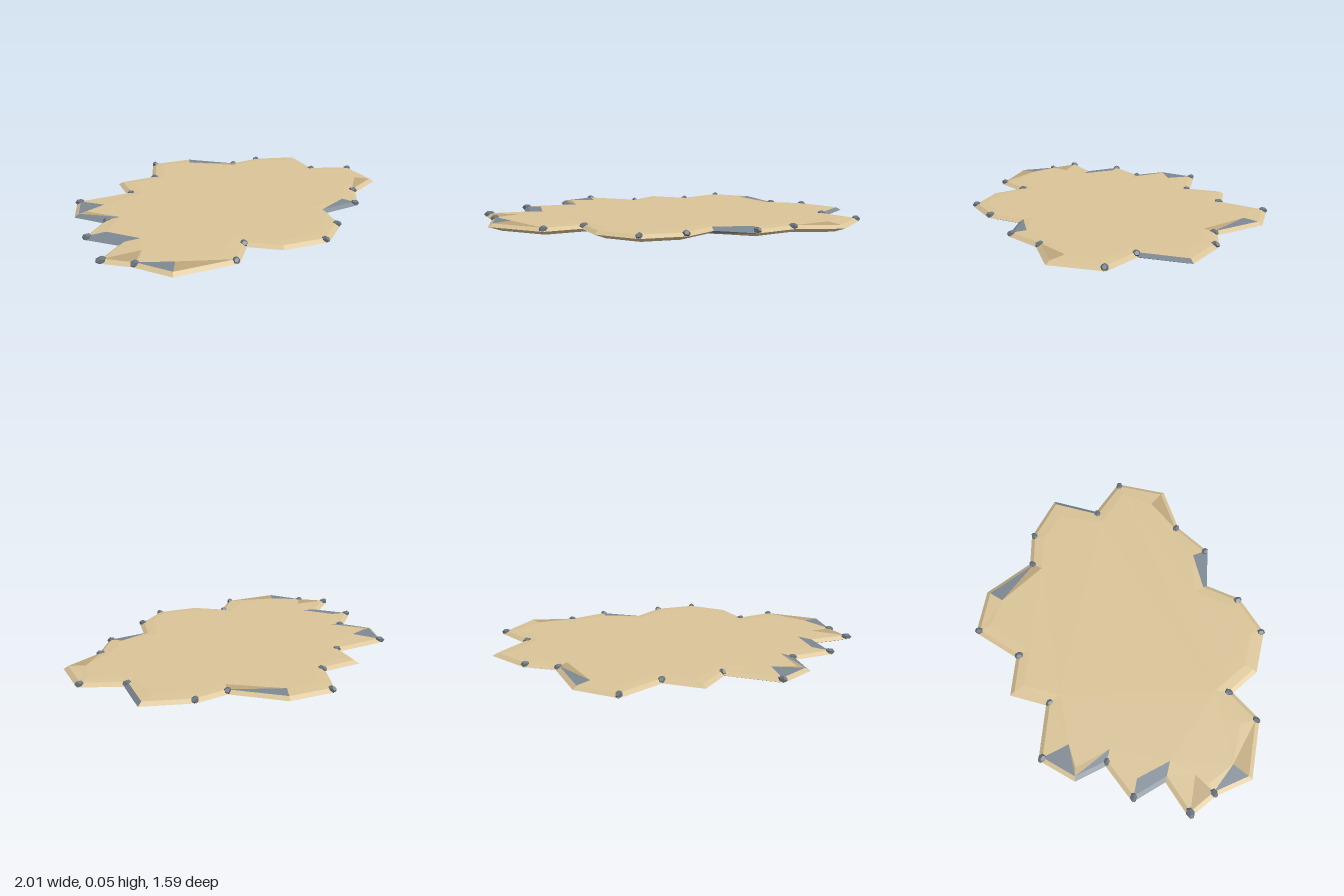
import * as THREE from 'three';

// Jagged outline of the slab (x, z), clockwise seen from above
const OUTLINE = [
  [0.18, -0.795], [0.415, -0.71], [0.555, -0.45], [0.73, -0.42], [0.94, -0.26], [0.835, -0.025],
  [1.0, 0.13], [0.9, 0.39], [0.655, 0.435], [0.48, 0.575], [0.265, 0.53], [0.16, 0.695],
  [-0.06, 0.79], [-0.285, 0.7], [-0.38, 0.55], [-0.545, 0.66], [-0.855, 0.555], [-0.91, 0.35],
  [-1.0, 0.195], [-0.8, 0.105], [-0.875, -0.08], [-0.67, -0.19], [-0.725, -0.36],
  [-0.585, -0.535], [-0.295, -0.46], [-0.21, -0.645], [0.0, -0.59],
];
const N = OUTLINE.length;
// Corners where the top surface starts further in or out than usual
const TOP_INSET = { 1: 0.1, 4: 0.09, 7: 0.1, 9: 0.085, 15: 0.1, 16: 0.11, 18: 0.15, 19: 0.08, 20: 0.09, 22: 0.06, 23: 0.15 };
const topInset = (i) => TOP_INSET[i % N] ?? 0.07;
// Edges with coloured facets on the upper chamfer: 1 = outer, 2 = inner triangle, 3 = both
const SLATE = { 1: 1, 9: 1, 16: 1, 19: 3, 21: 1, 22: 1 };
const CLAY = { 1: 2, 7: 1, 15: 1, 17: 1, 21: 2, 22: 2 };
// Edges whose steep sides are slate
const SLATE_SIDES = [4, 9, 19, 21];
// Corners that carry a small stone
const STONES = [0, 2, 3, 5, 6, 8, 9, 11, 12, 14, 15, 17, 18, 20, 21, 23, 24, 26];

// The slab is a thin shell, open underneath, so both sides show
const paint = (color) => new THREE.MeshStandardMaterial({ color, flatShading: true, side: THREE.DoubleSide });
const sand = paint(0xd9c397);
const clay = paint(0xbda67c);
const slate = paint(0x7d8892);
const stone = paint(0x69737e);

// Outline moved inward by a mitred distance, at height y
function ring(inset, y) {
  const edgeNormal = (i) => {
    const [ax, az] = OUTLINE[(i + N) % N], [bx, bz] = OUTLINE[(i + 1) % N];
    return new THREE.Vector2(bz - az, ax - bx).normalize();
  };
  return OUTLINE.map(([x, z], i) => {
    const n = edgeNormal(i - 1), m = edgeNormal(i);
    const miter = n.clone().add(m).divideScalar(1 + n.dot(m));
    const d = inset(i);
    return new THREE.Vector3(x - miter.x * d, y, z - miter.y * d);
  });
}

function meshFrom(name, triangles, material) {
  const geometry = new THREE.BufferGeometry().setFromPoints(triangles);
  geometry.computeVertexNormals();
  const mesh = new THREE.Mesh(geometry, material);
  mesh.name = name;
  return mesh;
}

// Flat face filling a ring, facing up
function cap(points) {
  const flat = points.map((p) => new THREE.Vector2(p.x, -p.z));
  return THREE.ShapeUtils.triangulateShape(flat, []).flatMap(([a, b, c]) => {
    const ccw = THREE.ShapeUtils.area([flat[a], flat[b], flat[c]]) > 0;
    return (ccw ? [a, b, c] : [a, c, b]).map((k) => points[k]);
  });
}

// Two triangles joining a lower and an upper ring along edge i;
// the outer one points at the corner that reaches further in
function band(lower, upper, i) {
  const j = (i + 1) % N;
  return topInset(i) > topInset(j)
    ? [[lower[j], lower[i], upper[i]], [lower[j], upper[i], upper[j]]]
    : [[lower[j], lower[i], upper[j]], [lower[i], upper[i], upper[j]]];
}

export function createModel() {
  const group = new THREE.Group();
  group.name = 'rockSlab';

  const bottom = ring(() => 0.065, 0);
  const rim = ring(() => 0, 0.026);
  const shoulder = ring(() => 0.022, 0.042);
  const top = ring(topInset, 0.047);

  // Sides and upper chamfer, sorted by colour
  const sandSides = [], clayFacets = [], slateFacets = [];
  for (let i = 0; i < N; i++) {
    const steep = SLATE_SIDES.includes(i) ? slateFacets : sandSides;
    const [outer, inner] = band(bottom, rim, i);
    sandSides.push(...outer);
    steep.push(...inner, ...band(rim, shoulder, i).flat());
    band(shoulder, top, i).forEach((triangle, k) => {
      const bit = k + 1;
      const target = SLATE[i] & bit ? slateFacets : CLAY[i] & bit ? clayFacets : sandSides;
      target.push(...triangle);
    });
  }
  group.add(
    meshFrom('topSurface', cap(top), sand),
    meshFrom('bevelledSides', sandSides, sand),
    meshFrom('clayFacets', clayFacets, clay),
    meshFrom('slateFacets', slateFacets, slate),
  );

  // Small stones set on the rim corners, pointing outward
  const stones = new THREE.Group();
  stones.name = 'rimStones';
  const seats = ring(() => 0.018, 0.037);
  const pebble = new THREE.DodecahedronGeometry(1);
  STONES.forEach((corner, k) => {
    const mesh = new THREE.Mesh(pebble, stone);
    const size = corner === 18 ? 1.4 : 1.1 + 0.15 * Math.sin(k * 3.1);
    mesh.name = 'rimStone';
    mesh.position.copy(seats[corner]);
    mesh.rotation.y = Math.atan2(-mesh.position.z, mesh.position.x);
    mesh.scale.set(0.023 * size, 0.018, 0.017 * size);
    stones.add(mesh);
  });
  group.add(stones);
  return group;
}
